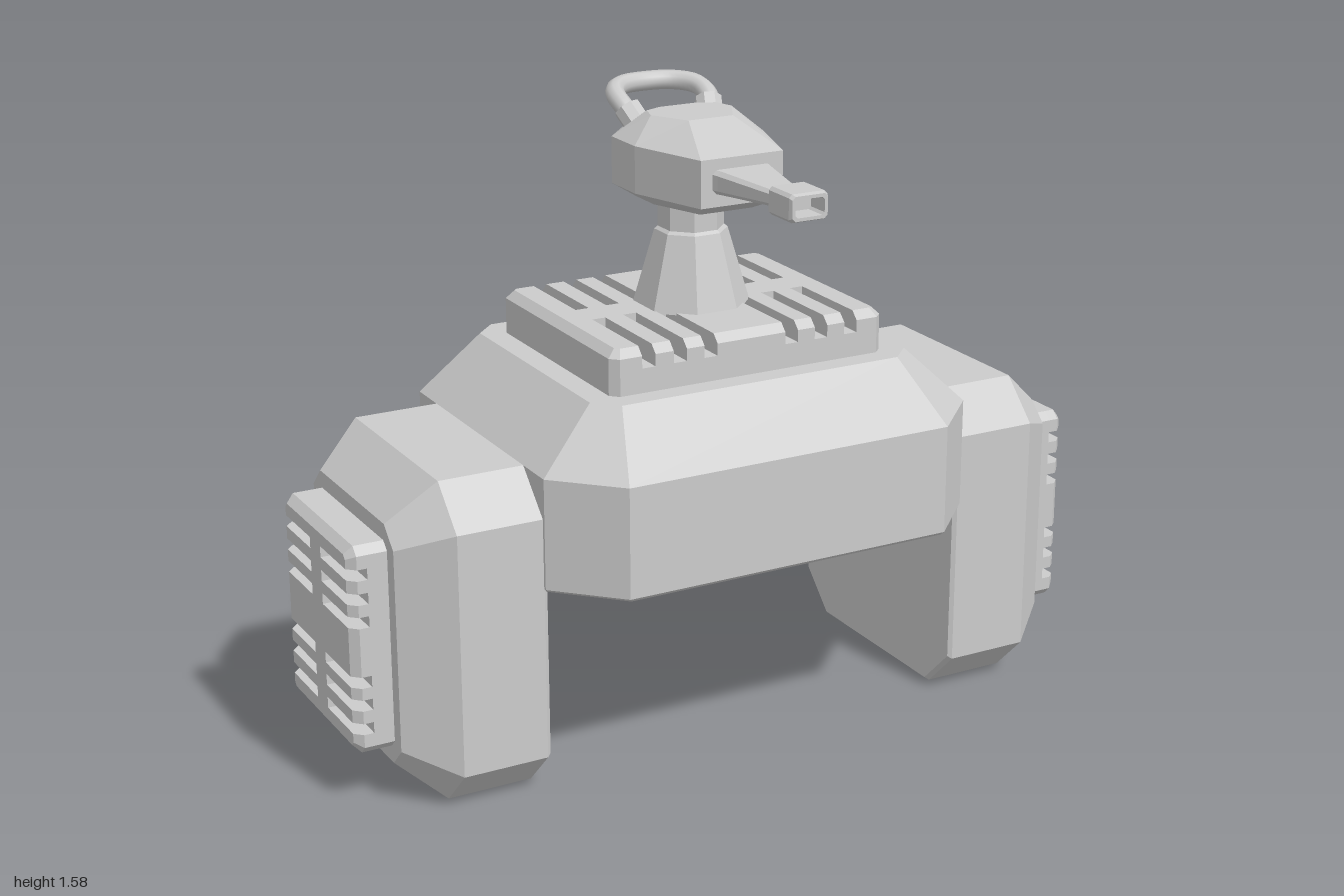
import * as THREE from 'three';

const material = new THREE.MeshStandardMaterial({ color: 0xcccccc, flatShading: true });

// Rectangle ring at height y; cL and cR cut the corners on the -x and +x ends.
function rect(x0, x1, z0, z1, y, cL = 0, cR = cL) {
  return [
    [x1 - cR, y, z1], [x1, y, z1 - cR], [x1, y, z0 + cR], [x1 - cR, y, z0],
    [x0 + cL, y, z0], [x0, y, z0 + cL], [x0, y, z1 - cL], [x0 + cL, y, z1],
  ];
}
const ring = (w, d, y, c = 0) => rect(-w, w, -d, d, y, c);

// Skin between rings of equal point count, capped at both ends.
function loft(rings) {
  const n = rings[0].length;
  const index = [];
  for (let i = 0; i < rings.length - 1; i++) {
    for (let j = 0; j < n; j++) {
      const a = i * n + j, b = i * n + (j + 1) % n;
      index.push(a, b, b + n, a, b + n, a + n);
    }
  }
  const last = (rings.length - 1) * n;
  for (let j = 1; j < n - 1; j++) {
    index.push(0, j + 1, j, last, last + j, last + j + 1);
  }
  const indexed = new THREE.BufferGeometry();
  indexed.setAttribute('position', new THREE.Float32BufferAttribute(rings.flat(2), 3));
  indexed.setIndex(index);
  const geometry = indexed.toNonIndexed();
  geometry.computeVertexNormals();
  return geometry;
}

function add(parent, name, geometry) {
  const mesh = new THREE.Mesh(geometry, material);
  mesh.name = name;
  parent.add(mesh);
  return mesh;
}

// Bevelled plate with slots running in from its two z edges.
function ventPanel(name, w, d, floor, top, slots, slotWidth, gap) {
  const panel = new THREE.Group();
  panel.name = name;
  const b = 0.02;
  add(panel, 'ventBase', loft([ring(w, d, 0, b), ring(w, d, floor, b)]));

  const cuts = [...slots.map((s) => -s), ...slots].sort((p, q) => p - q);
  const edges = [-w, ...cuts.flatMap((s) => [s - slotWidth / 2, s + slotWidth / 2]), w];
  for (let i = 0; i < edges.length - 1; i++) {
    const x0 = edges[i], x1 = edges[i + 1];
    if (i % 2) {
      // solid middle between two opposite slots
      add(panel, 'ventBridge', loft([rect(x0, x1, -gap, gap, floor), rect(x0, x1, -gap, gap, top)]));
    } else {
      const l = i === 0 ? b : 0, r = i === edges.length - 2 ? b : 0;
      add(panel, 'ventRib', loft([
        rect(x0, x1, -d, d, floor, l, r),
        rect(x0, x1, -d, d, top - b, l, r),
        rect(x0 + l, x1 - r, -d + b, d - b, top, l / 2, r / 2),
      ]));
    }
  }
  return panel;
}

// Side pod built along local y, later turned outward.
function makeLeg(name) {
  const leg = new THREE.Group();
  leg.name = name;
  add(leg, 'legShell', loft([
    ring(0.395, 0.343, 0.565, 0.1),
    ring(0.402, 0.35, 0.575, 0.1),
    ring(0.402, 0.35, 0.79, 0.1),
    ring(0.302, 0.25, 0.905, 0.05),
  ]));
  const vent = ventPanel('legVent', 0.26, 0.212, 0.05, 0.095, [0.075, 0.133, 0.193], 0.028, 0.033);
  vent.position.y = 0.905;
  leg.add(vent);
  return leg;
}

export function createModel() {
  const model = new THREE.Group();
  model.name = 'turretWalker';

  // Main body
  const body = add(model, 'body', loft([
    ring(0.57, 0.495, 0.525, 0.145),
    ring(0.576, 0.502, 0.533, 0.145),
    ring(0.576, 0.502, 0.805, 0.145),
    ring(0.43, 0.36, 0.95, 0.055),
  ]));
  body.position.z = -0.028;

  // Legs
  for (const side of [1, -1]) {
    const leg = makeLeg(side > 0 ? 'leftLeg' : 'rightLeg');
    leg.rotation.z = -side * Math.PI / 2;
    leg.position.set(0, 0.403, -0.029);
    model.add(leg);
  }

  // Deck on top of the body
  const deck = ventPanel('deckVent', 0.37, 0.3, 0.06, 0.11, [0.11, 0.192, 0.275], 0.035, 0.045);
  deck.position.set(0, 0.95, -0.025);
  model.add(deck);

  // Neck: eight-sided stem with a narrow collar
  const neckRing = (r, y) => ring(r, r, y, r * (1 - Math.tan(Math.PI / 8)));
  const neck = add(model, 'neck', loft([
    neckRing(0.133, 1.055), neckRing(0.083, 1.24), neckRing(0.075, 1.247),
    neckRing(0.075, 1.305), neckRing(0.084, 1.312), neckRing(0.084, 1.335),
  ]));
  neck.position.z = -0.023;

  // Head: half outlines from front to back, mirrored
  const headRing = (y, half) => [
    ...half.map(([x, z]) => [x, y, z]),
    ...half.slice().reverse().map(([x, z]) => [-x, y, z]),
  ];
  const widest = [[0.11, 0.225], [0.175, 0.02], [0.175, -0.1], [0.085, -0.2]];
  add(model, 'head', loft([
    headRing(1.32, [[0.07, 0.15], [0.12, 0.01], [0.12, -0.08], [0.06, -0.15]]),
    headRing(1.355, widest),
    headRing(1.47, widest),
    headRing(1.53, [[0.06, 0.075], [0.11, -0.02], [0.095, -0.07], [0.05, -0.09]]),
  ]));

  // Tapered barrel and hollow muzzle, built along y and turned to +z
  const gun = new THREE.Group();
  gun.name = 'gun';
  gun.rotation.x = Math.PI / 2;
  gun.position.y = 1.415;
  add(gun, 'barrel', loft([
    ring(0.085, 0.03, 0.2, 0.01), ring(0.075, 0.028, 0.24, 0.01), ring(0.036, 0.018, 0.435, 0.008),
  ]));
  add(gun, 'muzzle', loft([
    ring(0.04, 0.024, 0.42, 0.008), ring(0.05, 0.033, 0.432, 0.008),
    ring(0.05, 0.033, 0.52, 0.008), ring(0.046, 0.029, 0.53, 0.008),
    ring(0.038, 0.021, 0.53, 0.006), ring(0.038, 0.021, 0.47, 0.006),
  ]));
  model.add(gun);

  // Rear pipe loop with a socket at each end
  const half = [[0.1, 1.49, -0.105], [0.118, 1.528, -0.145], [0.113, 1.55, -0.2], [0.07, 1.556, -0.25]];
  const path = new THREE.CatmullRomCurve3([
    ...half.map((p) => new THREE.Vector3(...p)),
    new THREE.Vector3(0, 1.556, -0.267),
    ...half.slice().reverse().map(([x, y, z]) => new THREE.Vector3(-x, y, z)),
  ]);
  const pipe = add(model, 'pipeLoop', new THREE.TubeGeometry(path, 32, 0.024, 10));
  pipe.material = new THREE.MeshStandardMaterial({ color: 0xcccccc });
  for (const side of [1, -1]) {
    const socket = add(model, 'pipeSocket', new THREE.CylinderGeometry(0.034, 0.034, 0.05, 8));
    socket.position.set(side * 0.106, 1.507, -0.123);
    socket.quaternion.setFromUnitVectors(
      new THREE.Vector3(0, 1, 0), new THREE.Vector3(side * 0.25, 0.7, -0.65).normalize());
  }

  return model;
}
